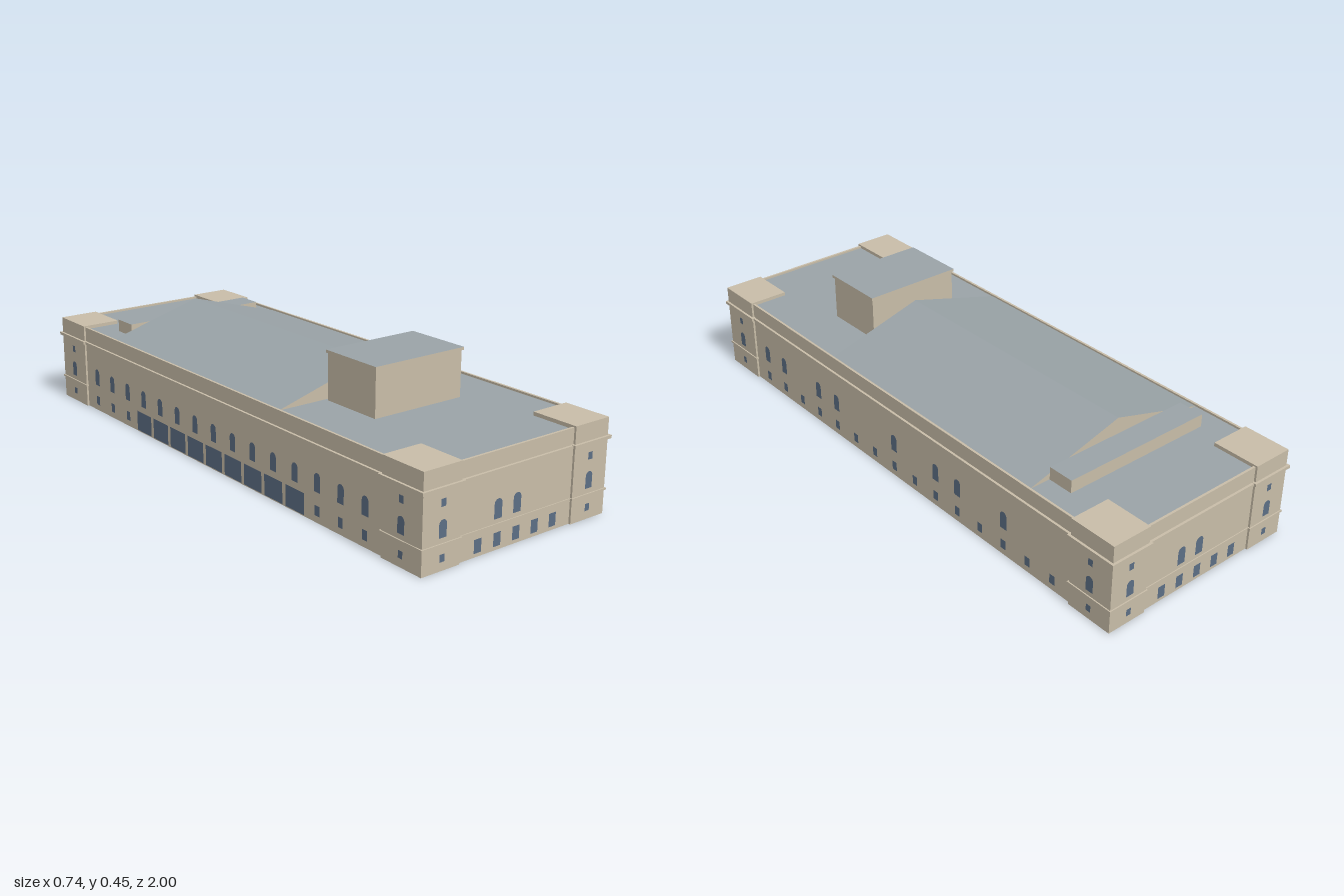
import * as THREE from 'three';

const stone = new THREE.MeshStandardMaterial({ color: 0xc8bda8, side: THREE.DoubleSide });
stone.name = 'pale stone';
const slate = new THREE.MeshStandardMaterial({ color: 0x9aa3a7, side: THREE.DoubleSide });
slate.name = 'grey roof';
const glass = new THREE.MeshStandardMaterial({ color: 0x5c6e84 });
glass.name = 'blue glass';

const WALL_X = 0.355, WALL_Z = 0.985;       // outer faces of the main walls
const TOWER = { x0: 0.222, x1: 0.362, z0: 0.827, z1: 0.992, h: 0.302 };
const BAY = 0.1075;                         // spacing of the side windows

export function createModel() {
  const model = new THREE.Group();
  model.name = 'building';

  const add = (name, geometry, material, parent = model) => {
    const mesh = new THREE.Mesh(geometry, material);
    mesh.name = name;
    parent.add(mesh);
    return mesh;
  };

  // Box given by its limits
  const box = (x0, x1, y0, y1, z0, z1) =>
    new THREE.BoxGeometry(x1 - x0, y1 - y0, z1 - z0)
      .translate((x0 + x1) / 2, (y0 + y1) / 2, (z0 + z1) / 2);

  // Rectangular frame in plan, raised from y0 to y1
  const ring = (x, z, inX, inZ, y0, y1) => {
    const rect = (a, b) => [[-a, -b], [a, -b], [a, b], [-a, b]].map(p => new THREE.Vector2(...p));
    const shape = new THREE.Shape(rect(x, z));
    shape.holes.push(new THREE.Path(rect(inX, inZ)));
    return new THREE.ExtrudeGeometry(shape, { depth: y1 - y0, bevelEnabled: false })
      .rotateX(-Math.PI / 2).translate(0, y0, 0);
  };

  // Hollow main walls, cornice and roof
  add('mainWalls', ring(WALL_X, WALL_Z, 0.347, 0.977, 0, 0.297), stone);
  add('mainCornice', ring(0.363, 0.993, 0.342, 0.972, 0.2366, 0.2455), stone);
  add('flatRoof', new THREE.PlaneGeometry(0.696, 1.956).rotateX(-Math.PI / 2).translate(0, 0.29, 0), slate);
  for (const s of [1, -1]) {
    const z = s * (WALL_Z + 0.001);
    add('endStringCourse', box(-0.222, 0.222, 0.0765, 0.0805, z - 0.002, z + 0.002), stone);
  }

  // Long gabled roof with stone ends
  const gable = new THREE.Shape([[-0.347, 0], [0.347, 0], [0, 0.098]].map(p => new THREE.Vector2(...p)));
  add('gableRoof', new THREE.ExtrudeGeometry(gable, { depth: 0.98, bevelEnabled: false })
    .translate(0, 0.291, -0.64), [stone, slate]);

  // Tall block near the front and its capped roof
  add('tallBlock', box(-0.17, 0.17, 0.291, 0.442, 0.351, 0.572), stone);
  const topSlate = [stone, stone, slate, stone, stone, stone];
  add('tallBlockCap', box(-0.175, 0.175, 0.4415, 0.451, 0.346, 0.577), topSlate);

  // Low block at the back
  add('lowBlock', box(-0.272, 0.272, 0.291, 0.334, -0.73, -0.641), topSlate);

  // Corner towers, open below, with two projecting bands
  const { x0, x1, z0, z1, h } = TOWER;
  for (const sx of [1, -1]) for (const sz of [1, -1]) {
    const tower = new THREE.Group();
    tower.name = 'cornerTower';
    const cx = sx * (x0 + x1) / 2, cz = sz * (z0 + z1) / 2;
    tower.position.set(cx, 0, cz);
    model.add(tower);
    const w = (x1 - x0) / 2, d = (z1 - z0) / 2;
    const shell = box(-w, w, 0, h, -d, d);
    const index = Array.from(shell.index.array);
    index.splice(18, 6);
    shell.setIndex(index);
    shell.clearGroups();
    add('towerShell', shell, stone, tower);
    add('towerCornice', ring(w + 0.008, d + 0.008, w - 0.003, d - 0.003, 0.2366, 0.2465), stone, tower);
    add('towerStringCourse', ring(w + 0.004, d + 0.004, w - 0.003, d - 0.003, 0.0755, 0.0815), stone, tower);
  }

  // Window panes: u runs along the wall, to the right as seen from outside
  const pane = (wall, name, u, y0, y1, w, arched, out) => {
    const s = new THREE.Shape(), r = w / 2;
    s.moveTo(-r, y0);
    s.lineTo(r, y0);
    if (arched) s.absarc(0, y1 - r, r, 0, Math.PI, false);
    else s.lineTo(r, y1).lineTo(-r, y1);
    s.closePath();
    add(name, new THREE.ShapeGeometry(s, 8), glass, wall).position.set(u, 0, out + 0.0015);
  };
  const makeWall = (name, turn) => {
    const wall = new THREE.Group();
    wall.name = name;
    wall.rotation.y = turn;
    model.add(wall);
    return wall;
  };
  const towerPanes = (wall, u, out) => {
    for (const s of [1, -1]) {
      pane(wall, 'towerLowWindow', s * u, 0.027, 0.05, 0.018, false, out);
      pane(wall, 'towerArchedWindow', s * u, 0.098, 0.151, 0.028, true, out);
      pane(wall, 'towerHighWindow', s * u, 0.188, 0.211, 0.018, false, out);
    }
  };

  // Front and back windows
  for (const [name, turn] of [['frontWindows', 0], ['backWindows', Math.PI]]) {
    const wall = makeWall(name, turn);
    for (let i = -2; i <= 2; i++) pane(wall, 'groundWindow', i * 0.0745, 0.012, 0.054, 0.028, false, WALL_Z);
    for (const u of [-0.0745, 0]) pane(wall, 'archedWindow', u, 0.095, 0.155, 0.03, true, WALL_Z);
    towerPanes(wall, 0.289, z1);
  }

  // Left side has scattered arches; right side has a full row above wide doors
  const left = makeWall('leftWindows', Math.PI / 2);
  const right = makeWall('rightWindows', -Math.PI / 2);
  const leftArches = [7, 6, 4, 3, 0, -2, -3, -5];
  for (let i = -7; i <= 7; i++) {
    const u = i * BAY;
    pane(left, 'groundWindow', u, 0.022, 0.054, 0.022, false, WALL_X);
    if (leftArches.includes(-i * -1)) pane(left, 'archedWindow', -u, 0.096, 0.156, 0.029, true, WALL_X);
    if (Math.abs(i) <= 4) pane(right, 'wideDoor', u, 0.004, 0.074, 0.092, false, WALL_X);
    else pane(right, 'groundWindow', u, 0.022, 0.054, 0.022, false, WALL_X);
    pane(right, 'archedWindow', u, 0.096, 0.156, 0.029, true, WALL_X);
  }
  towerPanes(left, 0.909, x1);
  towerPanes(right, 0.909, x1);

  return model;
}
